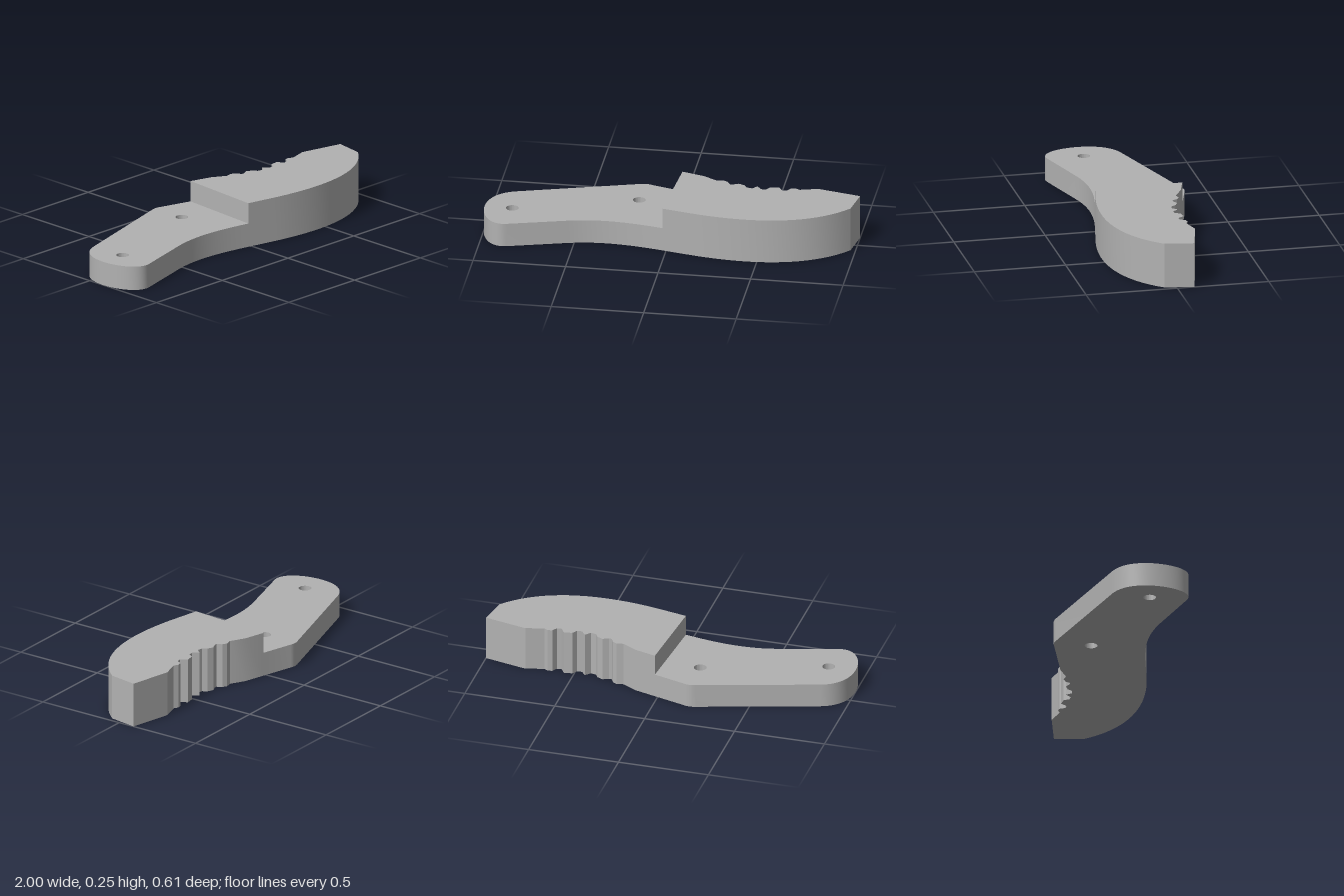
import * as THREE from 'three';
import { toCreasedNormals } from 'three/addons/utils/BufferGeometryUtils.js';

const HANDLE_HEIGHT = 0.132;
const JAW_HEIGHT = 0.247;

// Outlines are drawn in plan with y = -z, then laid flat on the ground.
function slab(shape, height, name, material) {
  const geometry = new THREE.ExtrudeGeometry(shape, {
    depth: height, bevelEnabled: false, curveSegments: 20,
  });
  geometry.rotateX(-Math.PI / 2);
  const mesh = new THREE.Mesh(toCreasedNormals(geometry, 0.4), material);
  mesh.name = name;
  return mesh;
}

function pinHole(x, y) {
  return new THREE.Path().absarc(x, y, 0.034, 0, Math.PI * 2, true);
}

export function createModel() {
  const group = new THREE.Group();
  group.name = 'gripLever';
  const grey = new THREE.MeshStandardMaterial({ color: 0xb2b2b2 });
  grey.name = 'plain grey';

  // Thin handle: rounded end, shallow waist and two pin holes
  const handle = new THREE.Shape();
  handle.moveTo(0.016, 0.247);
  handle.lineTo(-0.155, 0.297);
  handle.quadraticCurveTo(-0.19, 0.312, -0.23, 0.297);
  handle.lineTo(-0.86, 0.108);
  handle.bezierCurveTo(-0.955, 0.08, -1, 0, -1, -0.1);
  handle.bezierCurveTo(-1, -0.21, -0.94, -0.325, -0.85, -0.298);
  handle.lineTo(-0.545, -0.212);
  handle.bezierCurveTo(-0.38, -0.165, -0.23, -0.177, -0.02, -0.222);
  handle.closePath();
  handle.holes.push(pinHole(-0.85, -0.098), pinHole(-0.195, 0.104));
  group.add(slab(handle, HANDLE_HEIGHT, 'handle', grey));

  // Thick jaw: curved belly, blunt nose and a serrated gripping edge
  const jaw = new THREE.Shape();
  jaw.moveTo(0.016, 0.247);
  jaw.lineTo(-0.02, -0.222);
  jaw.lineTo(0.12, -0.252);
  jaw.bezierCurveTo(0.45, -0.325, 0.78, -0.304, 0.973, -0.065);
  jaw.lineTo(1, 0.094);
  jaw.lineTo(0.765, 0.148);
  const teeth = [
    [0.668, 0.121], [0.645, 0.135], [0.62, 0.131], [0.604, 0.102], [0.578, 0.099],
    [0.555, 0.134], [0.51, 0.128], [0.492, 0.099], [0.465, 0.097],
    [0.44, 0.128], [0.415, 0.1], [0.385, 0.106],
    [0.369, 0.131], [0.337, 0.146], [0.305, 0.132], [0.289, 0.132],
    [0.275, 0.16], [0.25, 0.174], [0.214, 0.167], [0.135, 0.212],
  ];
  teeth.forEach(([x, y]) => jaw.lineTo(x, y));
  jaw.closePath();
  group.add(slab(jaw, JAW_HEIGHT, 'serratedJaw', grey));

  return group;
}
